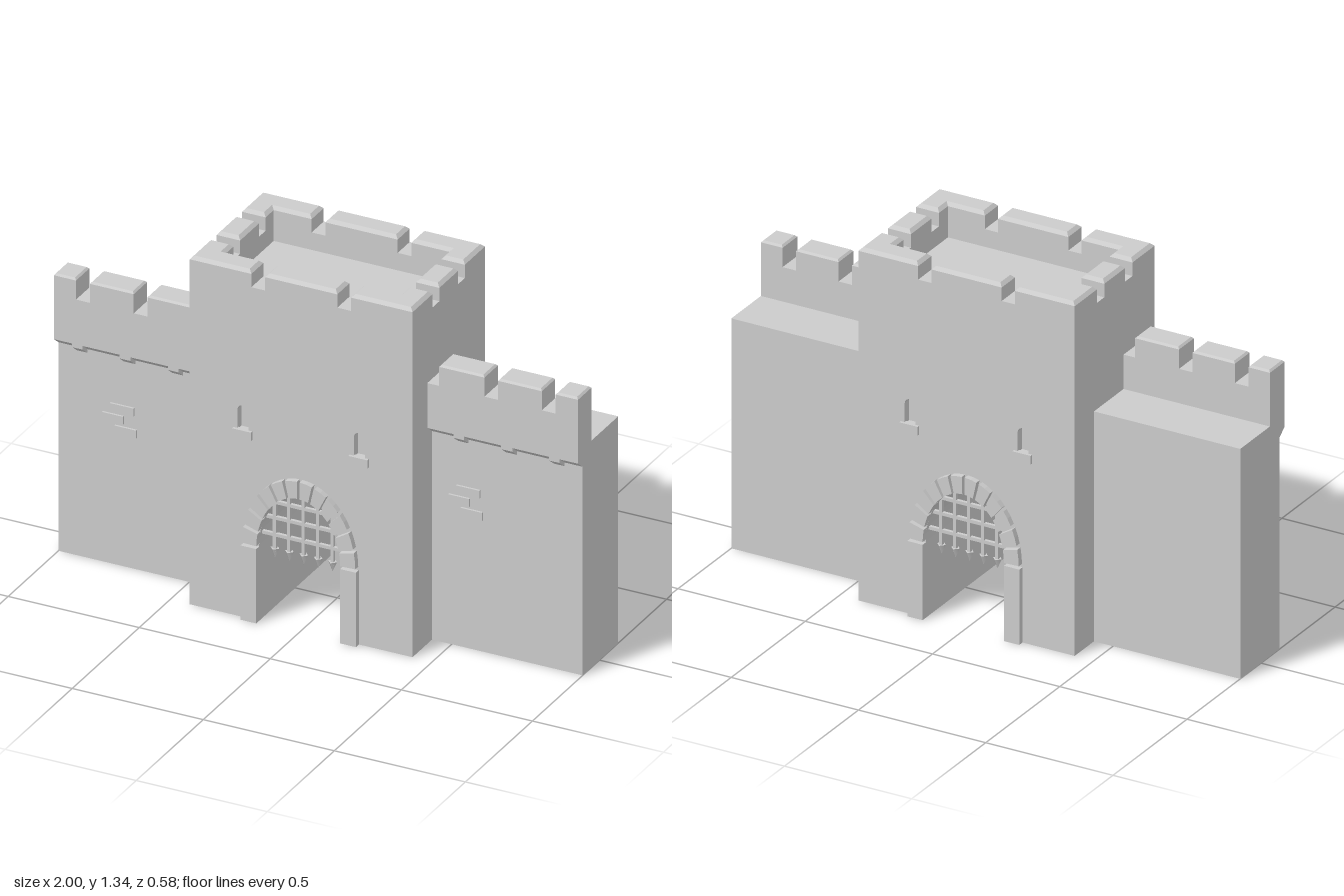
import * as THREE from 'three';

const mat = new THREE.MeshStandardMaterial({ color: 0xcccccc });
const W = 0.425, D = 0.27, T = 0.09;       // tower half width, half depth, parapet thickness
const FLOOR = 1.205, SILL = 1.272, TOP = 1.335;
const SPRING = 0.29;                       // height where the gate arch starts

function add(parent, name, geometry) {
  const m = new THREE.Mesh(geometry, mat);
  m.name = name;
  parent.add(m);
  return m;
}

// box given by its limits
function box(parent, name, x0, x1, y0, y1, z0, z1) {
  const g = new THREE.BoxGeometry(x1 - x0, y1 - y0, z1 - z0);
  g.translate((x0 + x1) / 2, (y0 + y1) / 2, (z0 + z1) / 2);
  return add(parent, name, g);
}

const poly = pts => new THREE.Shape(pts.map(p => new THREE.Vector2(p[0], p[1])));

// (x, y) outline extruded from z0 to z1
function slab(shape, z0, z1) {
  const g = new THREE.ExtrudeGeometry(shape, { depth: z1 - z0, bevelEnabled: false, curveSegments: 20 });
  return g.translate(0, 0, z0);
}

// (z, y) profile extruded from x0 to x1
function alongX(pts, x0, x1) {
  const g = new THREE.ExtrudeGeometry(poly(pts), { depth: x1 - x0, bevelEnabled: false });
  return g.rotateY(-Math.PI / 2).translate(x1, 0, 0);
}

// merlon with chamfered top; the lower chamfer is sunk into the wall below
function merlon(parent, pts, y0, y1, b = 0.012) {
  const g = new THREE.ExtrudeGeometry(poly(pts.map(([x, z]) => [x, -z])), {
    depth: y1 - y0 - b, bevelEnabled: true, bevelThickness: b, bevelSize: b, bevelOffset: -b, bevelSegments: 1,
  });
  add(parent, 'merlon', g.rotateX(-Math.PI / 2).translate(0, y0, 0));
}

const rect = (x0, x1, z0, z1) => [[x0, z0], [x1, z0], [x1, z1], [x0, z1]];

const archPoint = (a, b, t) => [a * Math.cos(t), SPRING + b * Math.sin(t)];

// tower outline with the gate opening cut from below
function facade() {
  const pts = [[-W, 0], [-0.16, 0]];
  for (let i = 0; i <= 24; i++) pts.push(archPoint(0.16, 0.225, Math.PI * (1 - i / 24)));
  pts.push([0.16, 0], [W, 0], [W, FLOOR], [-W, FLOOR]);
  return poly(pts);
}

function buildTower() {
  const tower = new THREE.Group();
  tower.name = 'gateTower';
  add(tower, 'towerCore', slab(facade(), -0.24, 0.24));

  // parapet ring around the roof
  for (const s of [-1, 1]) {
    const z = s * (D - T / 2), x = s * (W - T / 2);
    box(tower, 'parapet', -W, W, FLOOR, SILL, z - T / 2, z + T / 2);
    box(tower, 'parapet', x - T / 2, x + T / 2, FLOOR, SILL, -D + T, D - T);
    merlon(tower, rect(-0.138, 0.138, z - T / 2, z + T / 2), SILL, TOP);
    merlon(tower, rect(x - T / 2, x + T / 2, -0.07, 0.07), SILL, TOP);
    // L-shaped corner merlons
    for (const k of [-1, 1]) {
      const corner = [[W, D], [0.19, D], [0.19, D - T], [W - T, D - T], [W - T, 0.12], [W, 0.12]];
      merlon(tower, corner.map(([px, pz]) => [px * s, pz * k]), SILL, TOP);
    }
  }
  return tower;
}

function buildGateFace() {
  const face = new THREE.Group();
  face.name = 'gateFace';

  // outer wall skin with recessed arrow slits
  const skin = facade();
  for (const s of [-1, 1]) {
    const cx = s * 0.222, r = 0.021;
    const slit = new THREE.Path();
    slit.moveTo(cx - r, 0.715);
    slit.lineTo(cx + r, 0.715);
    slit.lineTo(cx + r, 0.79);
    slit.absarc(cx, 0.79, r, 0, Math.PI, false);
    slit.closePath();
    skin.holes.push(slit);
    box(face, 'slitSill', cx - 0.036, cx + 0.036, 0.687, 0.72, 0.26, 0.281);
    const px = s * 0.19;
    box(face, 'gatePost', px - 0.03, px + 0.03, 0, 0.285, D, 0.292);
  }
  add(face, 'towerSkin', slab(skin, 0.24, D));

  // arch stones with narrow joints
  const n = 12, step = Math.PI / n, gap = 0.025;
  for (let i = 0; i < n; i++) {
    const t0 = i * step + gap, t1 = (i + 1) * step - gap, tm = (t0 + t1) / 2;
    const outer = [t0, tm, t1].map(t => archPoint(0.218, 0.29, t));
    const inner = [t1, tm, t0].map(t => archPoint(0.16, 0.225, t));
    add(face, 'archStone', slab(poly([...outer, ...inner]), D, 0.292));
  }

  // portcullis: spiked uprights and cross bars
  const r = 0.006, z = 0.25;
  for (let i = -2; i <= 2; i++) {
    const x = i * 0.055;
    const top = SPRING + 0.225 * Math.sqrt(1 - (x / 0.16) ** 2) + 0.01;
    box(face, 'portcullisBar', x - r, x + r, 0.27, top, z - r, z + r);
    const spike = new THREE.ConeGeometry(0.017, 0.038, 4).rotateX(Math.PI);
    add(face, 'portcullisSpike', spike.translate(x, 0.264, z));
  }
  for (const y of [0.335, 0.4, 0.46]) {
    const half = 0.16 * Math.sqrt(1 - ((y - SPRING) / 0.225) ** 2) + 0.01;
    box(face, 'portcullisCrossBar', -half, half, y - r, y + r, z - r, z + r);
  }
  return face;
}

function buildSideWall(side) {
  const wall = new THREE.Group();
  wall.name = side > 0 ? 'leftWall' : 'rightWall';
  const span = (a, b) => (side > 0 ? [a, b] : [-b, -a]);
  const [x0, x1] = span(W, 1);
  box(wall, 'wallBody', x0, x1, 0, 0.87, -0.14, 0.125);

  // overhanging parapet, its sloped underside dropping at the corbels
  const cuts = [W, 0.525, 0.565, 0.707, 0.75, 0.89, 0.93, 1];
  for (let i = 0; i < cuts.length - 1; i++) {
    const drop = i % 2 ? 0.014 : 0;
    const profile = [[0.06, 0.8 - drop], [0.125, 0.8 - drop], [0.16, 0.828 - drop], [0.16, 1], [0.06, 1]];
    add(wall, 'wallParapet', alongX(profile, ...span(cuts[i], cuts[i + 1])));
  }
  for (const [a, b] of [[0.47, 0.643], [0.695, 0.862], [0.915, 1]]) {
    merlon(wall, rect(...span(a, b), 0.06, 0.16), 1, 1.08, 0.007);
  }

  // raised bricks, same layout on both walls
  const shift = side > 0 ? 0 : -1.32;
  for (const [a, b, y] of [[0.52, 0.61, 0.587], [0.49, 0.57, 0.546], [0.537, 0.62, 0.505]]) {
    box(wall, 'brick', a + shift, b + shift, y, y + 0.031, 0.12, 0.133);
  }
  return wall;
}

export function createModel() {
  const model = new THREE.Group();
  model.name = 'castleGatehouse';
  const front = buildGateFace();
  const back = front.clone();
  back.name = 'backGateFace';
  back.rotation.y = Math.PI;
  model.add(buildTower(), front, back, buildSideWall(1), buildSideWall(-1));
  return model;
}
